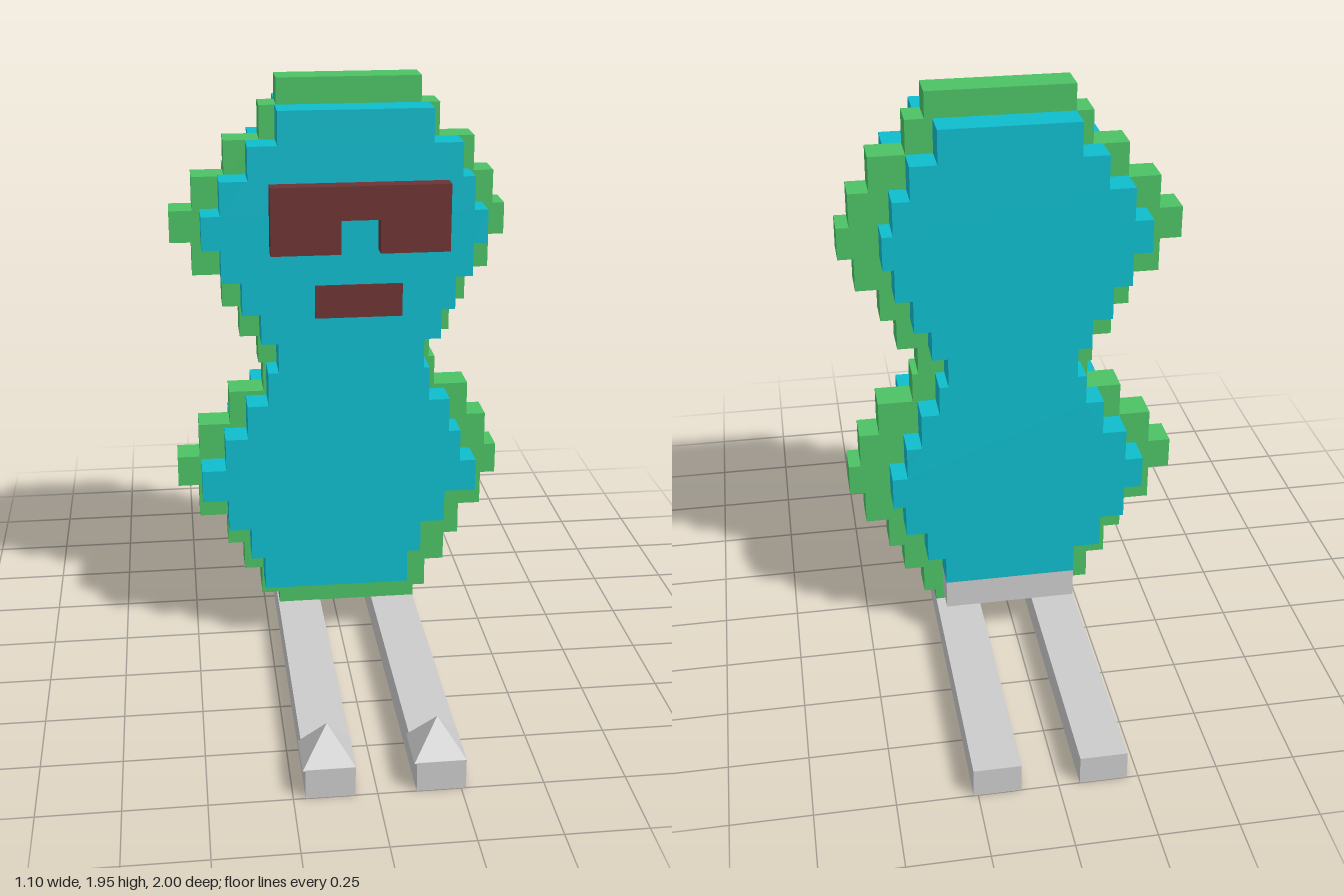
import * as THREE from 'three';

const material = (color) => new THREE.MeshStandardMaterial({ color, flatShading: true });
const cyan = material(0x0fbccd);
const green = material(0x4cc265);
const maroon = material(0x6e3333);
const grey = material(0xcccccc);

// Rows run from the top down: [top y, left x, right x].
const rimRows = [
  [1.945, -0.2, 0.265], [1.86, -0.255, 0.325], [1.75, -0.37, 0.44], [1.635, -0.475, 0.505],
  [1.525, -0.55, 0.545], [1.42, -0.48, 0.495], [1.31, -0.385, 0.42], [1.2, -0.33, 0.37],
  [1.095, -0.27, 0.305], [1.0, -0.255, 0.325], [0.9, -0.37, 0.44], [0.785, -0.475, 0.505],
  [0.67, -0.55, 0.545], [0.565, -0.48, 0.495], [0.45, -0.385, 0.42], [0.34, -0.33, 0.37],
  [0.24, -0.27, 0.305], [0.14, -0.21, 0.265],
];
const frontRows = [
  [1.86, -0.205, 0.29], [1.75, -0.3, 0.385], [1.64, -0.39, 0.425], [1.53, -0.45, 0.47],
  [1.42, -0.39, 0.425], [1.31, -0.325, 0.37], [1.2, -0.265, 0.325], [1.1, -0.21, 0.27],
  [1.0, -0.245, 0.29], [0.885, -0.315, 0.36], [0.77, -0.39, 0.4], [0.66, -0.47, 0.455],
  [0.55, -0.385, 0.35], [0.44, -0.31, 0.27], [0.33, -0.265, 0.225],
];
const backRows = [
  [1.86, -0.2, 0.24], [1.75, -0.285, 0.325], [1.64, -0.37, 0.38], [1.53, -0.43, 0.415],
  [1.42, -0.37, 0.38], [1.31, -0.31, 0.325], [1.2, -0.245, 0.27], [1.1, -0.2, 0.22],
  [1.0, -0.23, 0.25], [0.9, -0.29, 0.31], [0.78, -0.37, 0.36], [0.67, -0.43, 0.41],
  [0.56, -0.37, 0.37], [0.45, -0.29, 0.3], [0.34, -0.2, 0.24],
];

function addMesh(group, name, geometry, mat) {
  const mesh = new THREE.Mesh(geometry, mat);
  mesh.name = name;
  group.add(mesh);
  return mesh;
}

function extrude(points, z0, z1) {
  const shape = new THREE.Shape(points.map(([x, y]) => new THREE.Vector2(x, y)));
  return new THREE.ExtrudeGeometry(shape, { depth: z1 - z0, bevelEnabled: false }).translate(0, 0, z0);
}

// Stepped outline: down the left side, then back up the right side
function steppedSlab(rows, bottom, z0, z1) {
  const left = [], right = [];
  rows.forEach(([top, l, r], i) => {
    const low = i + 1 < rows.length ? rows[i + 1][0] : bottom;
    left.push([l, top], [l, low]);
    right.push([r, top], [r, low]);
  });
  return extrude([...left, ...right.reverse()], z0, z1);
}

function box(x0, x1, y0, y1, z0, z1) {
  return new THREE.BoxGeometry(x1 - x0, y1 - y0, z1 - z0)
    .translate((x0 + x1) / 2, (y0 + y1) / 2, (z0 + z1) / 2);
}

export function createModel() {
  const model = new THREE.Group();
  model.name = 'skiingFigure';

  // Body: three stepped layers
  addMesh(model, 'bodyRim', steppedSlab(rimRows, 0.1, -0.13, -0.02), green);
  addMesh(model, 'bodyFront', steppedSlab(frontRows, 0.215, -0.02, 0.09), cyan);
  addMesh(model, 'bodyBack', steppedSlab(backRows, 0.24, -0.235, -0.13), cyan);
  addMesh(model, 'backFoot', box(-0.2, 0.24, 0.14, 0.24, -0.235, -0.13), grey);

  // Face: goggles with a nose notch, and mouth
  addMesh(model, 'goggles', extrude([
    [-0.235, 1.63], [-0.235, 1.41], [-0.01, 1.41], [-0.01, 1.52],
    [0.115, 1.52], [0.115, 1.41], [0.34, 1.41], [0.34, 1.63],
  ], 0.09, 0.145), maroon);
  addMesh(model, 'mouth', box(-0.09, 0.195, 1.185, 1.295, 0.085, 0.096), maroon);

  // Skis with a pyramid at each tip
  for (const [name, x] of [['right', -0.14], ['left', 0.19]]) {
    addMesh(model, name + 'Ski', box(x - 0.074, x + 0.074, 0, 0.096, -1, 1), grey);
    const tip = new THREE.ConeGeometry(0.079 * Math.SQRT2, 0.108, 4).rotateY(Math.PI / 4);
    addMesh(model, name + 'SkiTip', tip, grey).position.set(x - 0.003, 0.148, 0.921);
  }
  return model;
}
